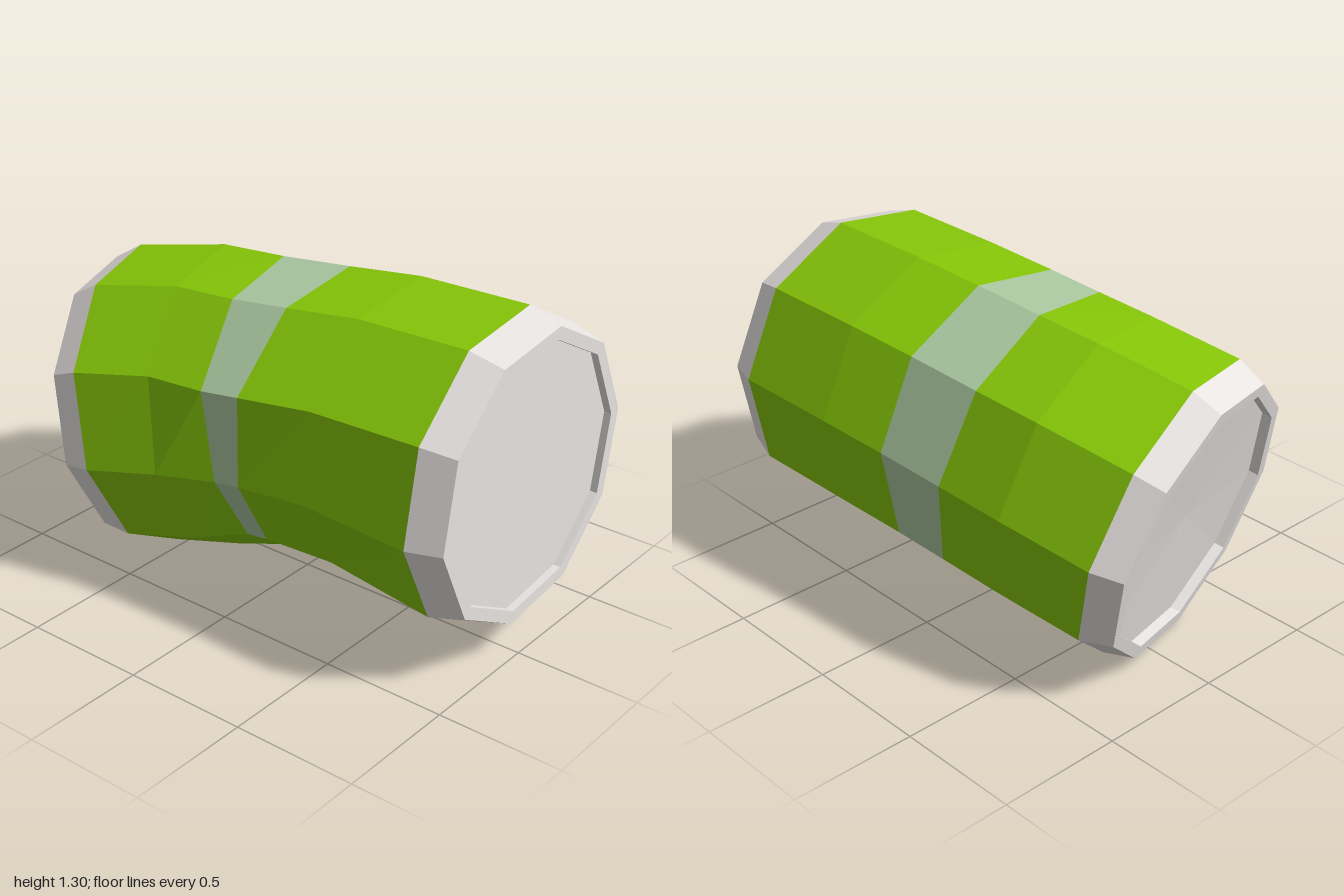
import * as THREE from 'three';

const SIDES = 10;
const START = THREE.MathUtils.degToRad(7);
// Share of the dent taken by each corner, on the lower right of the can
const DENT = [0, 0, 0, 0, 0, 0.75, 1, 0.8, 0.15, 0];

// A flat ten-sided cross-section: centre, radius, facing direction and dent depth
function ring(x, y, z, r, a = 0, b = 0, dent = 0) {
  const n = new THREE.Vector3(a, b, Math.sqrt(1 - a * a - b * b));
  const turn = new THREE.Quaternion().setFromUnitVectors(new THREE.Vector3(0, 0, 1), n);
  const c = new THREE.Vector3(x, y, z);
  return DENT.map((share, i) => {
    const t = START + (i * 2 * Math.PI) / SIDES;
    const d = r - dent * share;
    return new THREE.Vector3(d * Math.cos(t), d * Math.sin(t), 0).applyQuaternion(turn).add(c);
  });
}

// Skin between successive rings, listed from front to back
function skin(rings) {
  const pos = [];
  const tri = (...pts) => pts.forEach((p) => pos.push(p.x, p.y, p.z));
  for (let k = 0; k < rings.length - 1; k++) {
    for (let i = 0; i < SIDES; i++) {
      const j = (i + 1) % SIDES;
      const [a, b, c, d] = [rings[k][i], rings[k][j], rings[k + 1][j], rings[k + 1][i]];
      tri(a, d, c);
      tri(a, c, b);
    }
  }
  const geo = new THREE.BufferGeometry();
  geo.setAttribute('position', new THREE.Float32BufferAttribute(pos, 3));
  geo.computeVertexNormals();
  return geo;
}

export function createModel() {
  const can = new THREE.Group();
  can.name = 'dentedCan';

  const add = (name, color, rings) => {
    const mat = new THREE.MeshStandardMaterial({ color, flatShading: true });
    const mesh = new THREE.Mesh(skin(rings), mat);
    mesh.name = name;
    can.add(mesh);
  };

  const metal = 0xe7e3e1, green = 0x86c608, pale = 0xaac8a0;

  // Cross-sections of the bent wall
  const R = 0.605;
  const front = ring(0.053, 0.699, 0.86, R);
  const frontMid = ring(0.042, 0.692, 0.4, R, 0, 0, 0.06);
  const bandFront = ring(0.01, 0.664, 0.1, R, 0, 0, 0.09);
  const bandBack = ring(-0.007, 0.645, -0.095, R, 0.147, 0.147, 0.095);
  const backMid = ring(-0.018, 0.63, -0.365, R, 0.19, 0.165, 0.01);
  const tilt = [0.243, 0.23];
  const back = ring(-0.085, 0.569, -0.7, R, ...tilt);

  // Painted wall and the band around its waist
  add('frontWall', green, [front, frontMid, bandFront]);
  add('band', pale, [bandFront, bandBack]);
  add('backWall', green, [bandBack, backMid, back]);

  // Front lid: bevel, rim, recess wall and flat disc
  add('frontLid', metal, [
    ring(0.053, 0.699, 0.965, 0.0001),
    ring(0.053, 0.699, 0.965, 0.513),
    ring(0.053, 0.699, 0.995, 0.513),
    ring(0.053, 0.699, 0.995, 0.563),
    front,
  ]);

  // Back lid: the same, with a slightly dished disc
  add('backLid', metal, [
    back,
    ring(-0.114, 0.543, -0.813, 0.563, ...tilt),
    ring(-0.114, 0.543, -0.813, 0.513, ...tilt),
    ring(-0.104, 0.552, -0.775, 0.513, ...tilt),
    ring(-0.1, 0.556, -0.76, 0.0001, ...tilt),
  ]);

  return can;
}
